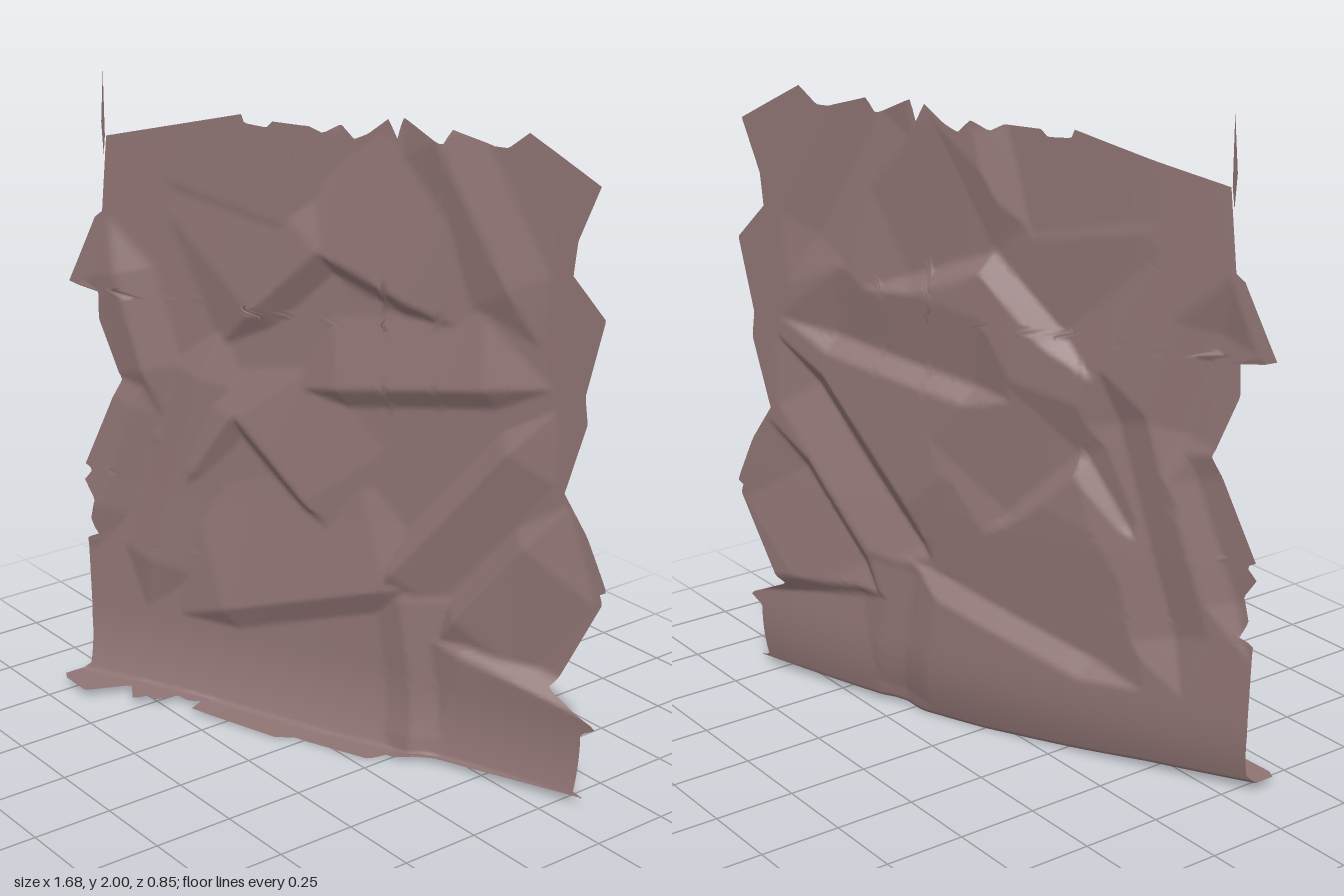
import * as THREE from 'three';

// Piecewise-linear lookup through [key, value] pairs
function lookup(pairs, k) {
  if (k <= pairs[0][0]) return pairs[0][1];
  for (let i = 1; i < pairs.length; i++) {
    const [a, va] = pairs[i - 1], [b, vb] = pairs[i];
    if (k <= b) return va + (vb - va) * (k - a) / (b - a);
  }
  return pairs[pairs.length - 1][1];
}

// Ragged side edges as [y, x]
const LEFT = [[0.03, -0.8], [0.05, -0.78], [0.2, -0.8], [0.44, -0.81], [0.48, -0.81], [0.5, -0.77],
  [0.55, -0.79], [0.62, -0.77], [0.68, -0.81], [0.72, -0.78], [0.73, -0.81], [1.03, -0.69],
  [1.22, -0.76], [1.31, -0.75], [1.325, -0.85], [1.55, -0.76], [1.56, -0.74], [1.8, -0.72]];
const RIGHT = [[0.03, 0.82], [0.04, 0.79], [0.22, 0.79], [0.25, 0.84], [0.33, 0.67], [0.62, 0.8],
  [0.65, 0.79], [0.66, 0.81], [0.8, 0.75], [0.82, 0.74], [0.93, 0.67], [1.15, 0.73], [1.23, 0.72],
  [1.46, 0.77], [1.57, 0.67], [1.67, 0.68], [1.83, 0.74]];
// Top and bottom edges as [x, y]
const TOP = [[-0.72, 1.8], [-0.3, 1.91], [-0.29, 1.885], [-0.22, 1.88], [-0.2, 1.9], [-0.09, 1.9],
  [-0.06, 1.88], [-0.02, 1.91], [0.02, 1.87], [0.06, 1.89], [0.12, 1.94], [0.15, 1.88],
  [0.16, 1.95], [0.3, 1.89], [0.32, 1.935], [0.43, 1.9], [0.47, 1.9], [0.53, 1.95], [0.74, 1.83]];
const BOTTOM = [[-0.8, 0.03], [-0.5, 0.025], [-0.3, 0.012], [0, 0], [0.22, 0.005], [0.3, 0.02], [0.8, 0.03]];
// Front rim of the bottom lip as [x, z]
const LIP = [[-0.81, 0.4], [-0.77, 0.42], [-0.66, 0.42], [-0.6, 0.28], [-0.52, 0.33], [-0.51, 0.27],
  [-0.47, 0.28], [-0.46, 0.2], [-0.41, 0.19], [-0.38, 0.15], [-0.37, 0.21], [-0.07, 0.1],
  [-0.03, 0.05], [0.22, -0.04], [0.23, -0.1], [0.27, -0.1], [0.36, -0.18], [0.81, -0.35]];

// Rock ridges: x0, y0, x1, y1, height, slope width left and right of the line
const RIDGES = [
  [-0.26, 1.32, -0.06, 1.53, 0.045, 0.4, 0.06],
  [-0.06, 1.53, 0.2, 1.42, 0.04, 0.4, 0.05],
  [0, 1.12, 0.45, 1.2, 0.04, 0.22, 0.06],
  [-0.45, 0.77, -0.33, 0.97, 0.04, 0.2, 0.04],
  [-0.31, 0.97, -0.1, 0.74, 0.04, 0.3, 0.05],
  [-0.35, 0.33, 0.16, 0.51, 0.04, 0.4, 0.07],
  [0.18, 0.57, 0.53, 1.03, 0.05, 0.07, 0.14],
  [-0.58, 0.45, -0.42, 1.08, 0.04, 0.12, 0.13],
  [-0.68, 1.38, -0.6, 1.08, 0.04, 0.1, 0.12],
  [-0.17, 1.6, -0.1, 1.9, 0.035, 0.4, 0.08],
  [0.38, 0.47, 0.58, 0.75, 0.045, 0.06, 0.25],
  [0.4, 0.36, 0.86, 0.26, 0.045, 0.06, 0.4],
  [0.28, 1.9, 0.5, 1.5, 0.03, 0.12, 0.14],
  [-0.75, 0.6, -0.64, 0.95, 0.03, 0.15, 0.07],
  [0.2, 0.48, 0.27, 0.06, 0.03, 0.16, 0.1],
];

// Height of the tallest ridge at a point
function relief(x, y) {
  let top = 0;
  for (const [x0, y0, x1, y1, h, wl, wr] of RIDGES) {
    const len = Math.hypot(x1 - x0, y1 - y0);
    const ux = (x1 - x0) / len, uy = (y1 - y0) / len;
    const along = (x - x0) * ux + (y - y0) * uy;
    const side = (y - y0) * ux - (x - x0) * uy;
    const past = Math.max(0, -along, along - len);
    top = Math.max(top, h * (1 - Math.abs(side) / (side > 0 ? wl : wr) - past / 0.18));
  }
  return top;
}

// Slanted, slightly dished wall with its foot curling forward
function wallZ(x, y) {
  const foot = Math.max(0, 1 - y / 0.25);
  const lean = Math.max(0, 1 - y / 0.7);
  return -0.12 - 0.44 * x + 0.075 * x * x + relief(x, y) + 0.02 * lean + 0.05 * foot * foot;
}

function wallGeometry() {
  const nx = 160, ny = 170, lipRows = 4;
  const pos = [], index = [];
  for (let j = 0; j <= ny; j++) {
    const t = Math.max(0, (j - lipRows) / (ny - lipRows));
    const out = Math.max(0, 1 - j / lipRows);
    for (let i = 0; i <= nx; i++) {
      const s = i / nx;
      const low = lookup(BOTTOM, -0.8 + 1.6 * s);
      const high = lookup(TOP, -0.72 + 1.46 * s);
      const y = low + (high - low) * t;
      const l = lookup(LEFT, y), r = lookup(RIGHT, y);
      const x = l + (r - l) * s;
      const z = wallZ(x, y);
      pos.push(x, y, z + (Math.max(z, lookup(LIP, x)) - z) * out);
      if (i < nx && j < ny) {
        const a = j * (nx + 1) + i, b = a + nx + 1;
        index.push(a, a + 1, b + 1, a, b + 1, b);
      }
    }
  }
  const g = new THREE.BufferGeometry();
  g.setAttribute('position', new THREE.Float32BufferAttribute(pos, 3));
  g.setIndex(index);
  g.computeVertexNormals();
  return g;
}

export function createModel() {
  const group = new THREE.Group();
  group.name = 'rockWall';
  const rock = new THREE.MeshStandardMaterial({ color: 0x8f7373, side: THREE.DoubleSide });

  const wall = new THREE.Mesh(wallGeometry(), rock);
  wall.name = 'rockFace';
  group.add(wall);

  // Thin splinter standing on the top left corner
  const shape = new THREE.Shape([[-0.73, 1.74], [-0.72, 1.8], [-0.72, 2], [-0.738, 1.84]]
    .map(([x, y]) => new THREE.Vector2(x, y)));
  const splinter = new THREE.Mesh(new THREE.ShapeGeometry(shape), rock);
  splinter.position.z = 0.24;
  splinter.name = 'cornerSplinter';
  group.add(splinter);

  return group;
}
